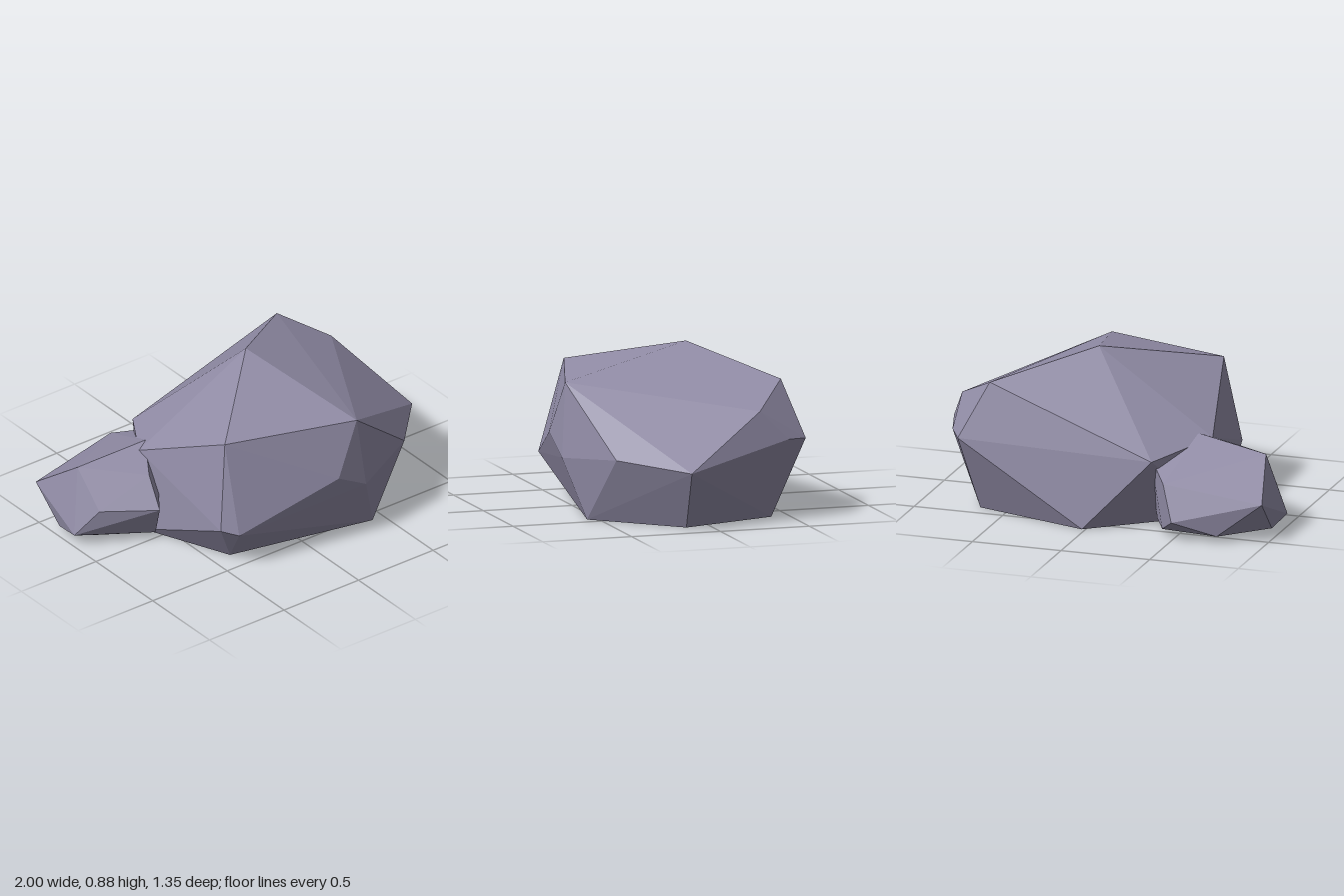
import * as THREE from 'three';
import { ConvexGeometry } from 'three/addons/geometries/ConvexGeometry.js';

const stone = new THREE.MeshStandardMaterial({ color: 0x918ca6, flatShading: true });
stone.name = 'lavender grey stone';

// A faceted boulder is the convex hull of its corner points
function boulder(name, corners) {
  const geometry = new ConvexGeometry(corners.map(c => new THREE.Vector3(...c)));
  const mesh = new THREE.Mesh(geometry, stone);
  mesh.name = name;
  return mesh;
}

export function createModel() {
  const group = new THREE.Group();
  group.name = 'rocks';

  group.add(boulder('largeRock', [
    // crown
    [0.09, 0.875, -0.11], [-0.44, 0.72, 0.4], [0.27, 0.72, 0.63],
    [0.58, 0.73, -0.48], [0.8, 0.6, -0.29],
    // girth
    [1, 0.32, 0.16], [0.7, 0.36, 0.485], [0.31, 0.32, 0.66], [0.12, 0.43, 0.67],
    [-0.45, 0.22, 0.54], [-0.52, 0.24, 0.47], [-0.575, 0.45, -0.18],
    [-0.35, 0.39, -0.53], [0.73, 0.43, -0.57], [0.8, 0.44, -0.45],
    // flat base
    [0.43, 0, 0.56], [0.83, 0, 0.135], [0.66, 0, -0.4],
    [0.02, 0, -0.6], [-0.6, 0, -0.11], [-0.39, 0, 0.38],
  ]));

  group.add(boulder('smallRock', [
    // crown
    [-0.51, 0.475, -0.21], [-0.91, 0.42, -0.28], [-0.62, 0.385, -0.03],
    [-0.44, 0.3, -0.605], [-0.3, 0.38, -0.4],
    // girth
    [-1, 0.07, -0.19], [-0.9, 0.225, -0.1], [-0.64, 0.23, 0.09],
    [-0.98, 0.22, -0.555], [-0.51, 0.11, -0.675],
    // flat base
    [-0.97, 0.035, -0.36], [-0.87, 0.035, -0.17], [-0.6, 0.035, 0],
    [-0.33, 0.035, -0.38], [-0.42, 0.035, -0.56], [-0.74, 0.035, -0.6],
  ]));

  return group;
}
